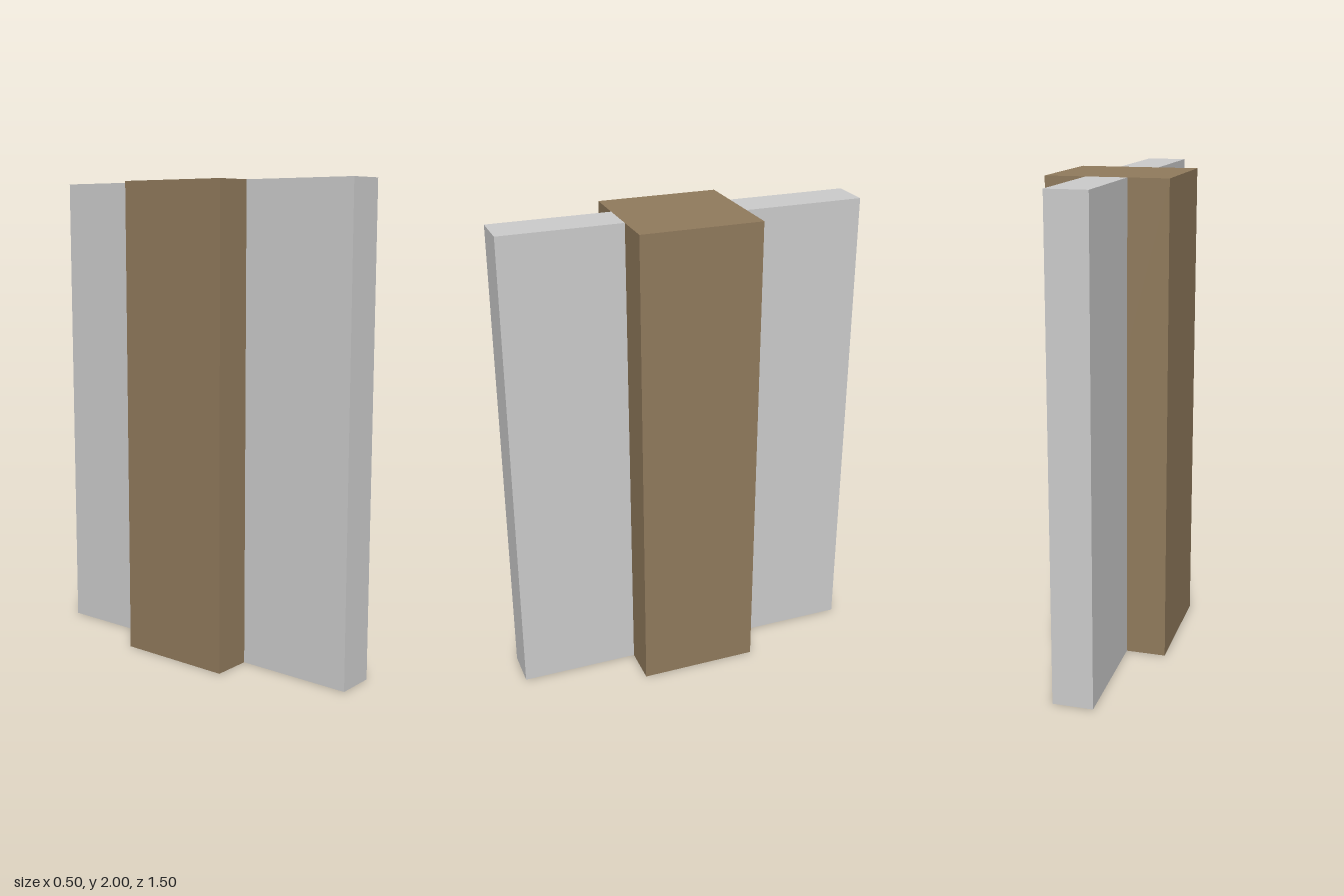
import * as THREE from 'three';

const HEIGHT = 2;
const POST = 0.5; // square post side
const WALL_THICKNESS = 1 / 6;
const WALL_LENGTH = 0.5; // reach of each wall beyond the post

function block(name, width, depth, z, material) {
  const mesh = new THREE.Mesh(new THREE.BoxGeometry(width, HEIGHT, depth), material);
  mesh.name = name;
  mesh.position.set(0, HEIGHT / 2, z);
  return mesh;
}

export function createModel() {
  const group = new THREE.Group();
  group.name = 'wallWithPost';
  const wood = new THREE.MeshStandardMaterial({ color: 0x907a5c });
  const grey = new THREE.MeshStandardMaterial({ color: 0xcccccc });

  // Square central post
  group.add(block('post', POST, POST, 0, wood));

  // Thin wall panels butting against the front and back of the post
  for (const [name, side] of [['frontWall', 1], ['backWall', -1]]) {
    const z = side * (POST + WALL_LENGTH) / 2;
    group.add(block(name, WALL_THICKNESS, WALL_LENGTH, z, grey));
  }
  return group;
}
